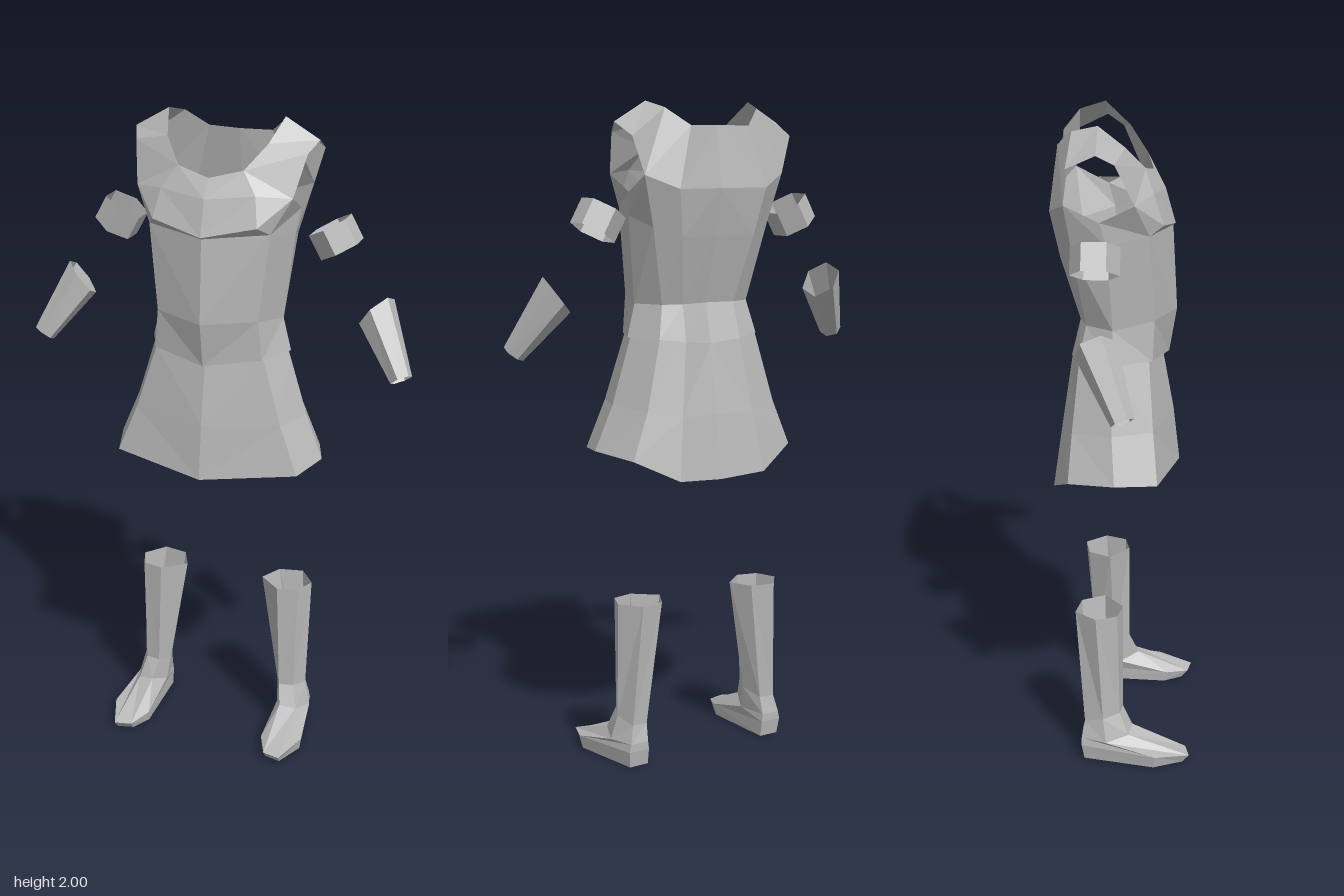
import * as THREE from 'three';

const cloth = new THREE.MeshStandardMaterial({ color: 0xb8b8b8, flatShading: true, side: THREE.DoubleSide });
cloth.name = 'plain grey';

// Skin over a grid of points: rows run upward, columns run to the model's left
function skin(name, rows) {
  const pos = [];
  for (let r = 0; r < rows.length - 1; r++) {
    for (let c = 0; c < rows[r].length - 1; c++) {
      const a = rows[r][c], b = rows[r][c + 1], d = rows[r + 1][c + 1], e = rows[r + 1][c];
      for (const tri of [[a, b, d], [a, d, e]]) {
        if (new Set(tri).size === 3) tri.forEach(p => pos.push(...p));
      }
    }
  }
  const geo = new THREE.BufferGeometry();
  geo.setAttribute('position', new THREE.Float32BufferAttribute(pos, 3));
  geo.computeVertexNormals();
  const mesh = new THREE.Mesh(geo, cloth);
  mesh.name = name;
  return mesh;
}

// Open six-sided sleeve from a low end to a high end; slant tilts the upper rim
function sleeve(name, low, high, rLow, rHigh, slant = 0) {
  const a = new THREE.Vector3(...low), b = new THREE.Vector3(...high);
  const geo = new THREE.CylinderGeometry(rHigh, rLow, a.distanceTo(b), 6, 1, true);
  const p = geo.attributes.position;
  for (let i = 0; i < p.count; i++) {
    if (p.getY(i) > 0) p.setY(i, p.getY(i) + slant * p.getX(i));
  }
  const mesh = new THREE.Mesh(geo, cloth);
  mesh.name = name;
  mesh.position.copy(a).add(b).multiplyScalar(0.5);
  mesh.quaternion.setFromUnitVectors(new THREE.Vector3(0, 1, 0), b.sub(a).normalize());
  return mesh;
}

function makeHalf() {
  const half = new THREE.Group();

  // Skirt: half rings from front centre round to back centre
  const skirt = [
    [[0, .93, .165], [.29, .963, .105], [.33, .975, -.02], [.28, .96, -.16], [.15, .895, -.213], [0, .885, -.203]],
    [[0, 1.1, .145], [.232, 1.11, .09], [.275, 1.11, -.03], [.225, 1.1, -.15], [.125, 1.08, -.187], [0, 1.08, -.178]],
    [[0, 1.28, .112], [.17, 1.31, .075], [.212, 1.31, -.03], [.17, 1.31, -.13], [.095, 1.3, -.155], [0, 1.29, -.142]],
  ];
  half.add(skin('skirt', skirt));

  // Bodice: overlaps the top of the skirt at the front
  const bodice = [
    [[0, 1.285, .13], [.17, 1.31, .085], [.222, 1.31, -.03], [.172, 1.31, -.132], [.096, 1.3, -.157], [0, 1.29, -.144]],
    [[0, 1.42, .152], [.158, 1.43, .09], [.197, 1.41, -.03], [.15, 1.41, -.11], [.09, 1.41, -.13], [0, 1.41, -.117]],
    [[0, 1.675, .138], [.187, 1.69, .075], [.225, 1.67, -.045], [.2, 1.64, -.145], [.125, 1.61, -.185], [0, 1.61, -.17]],
  ];
  half.add(skin('bodice', bodice));
  const top = bodice[2];

  // Shoulder strap: pairs of neck and armhole points, front to back
  const strap = [
    [[.1, 1.865, .06], [.24, 1.79, .035]],
    [[.155, 1.935, .005], [.265, 1.91, -.02]],
    [[.18, 2, -.07], [.285, 1.94, -.07]],
    [[.16, 1.98, -.145], [.275, 1.9, -.155]],
    [[.1, 1.93, -.19], [.24, 1.79, -.165]],
  ];
  half.add(skin('shoulderStrap', strap));
  const [neckFront, armFront] = strap[0], [neckBack, armBack] = strap[4];

  // Chest yoke with a small overhang above the bodice
  half.add(skin('chestYoke', [
    [top[0], top[1], armFront],
    [[0, 1.68, .145], [.16, 1.715, .115], armFront],
    [[0, 1.785, .115], [.145, 1.8, .085], armFront],
    [[0, 1.84, .08], neckFront, armFront],
  ]));

  // Side panel up to the armhole
  half.add(skin('underarmPanel', [[top[1], top[2], top[3]], [armFront, [.235, 1.74, -.065], armBack]]));

  // Upper back up to the neckline
  half.add(skin('upperBack', [
    [top[3], top[4], top[5]],
    [armBack, [.15, 1.75, -.212], [0, 1.75, -.2]],
    [armBack, neckBack, [0, 1.93, -.178]],
  ]));

  // Arm pieces
  half.add(sleeve('armBand', [.36, 1.626, -.07], [.321, 1.696, -.07], .07, .07));
  half.add(sleeve('forearmGuard', [.575, 1.28, .018], [.473, 1.453, -.06], .034, .062, .35));

  // Boot: rings from the sole up the foot and shaft
  const under = [.25, 0, .03];
  const boot = [
    [[.23, 0, .18], [.28, 0, .192], [.318, 0, .1], [.275, 0, -.12], [.212, 0, -.12], [.2, 0, .12]],
    [[.23, .025, .2], [.283, .025, .212], [.325, .04, .105], [.28, .05, -.128], [.212, .05, -.128], [.197, .035, .13]],
    [[.225, .1, .03], [.275, .09, .02], [.302, .075, -.05], [.275, .075, -.128], [.215, .075, -.128], [.197, .075, -.03]],
    [[.212, .16, 0], [.258, .16, -.008], [.283, .15, -.06], [.262, .13, -.118], [.212, .13, -.115], [.19, .15, -.05]],
    [[.2, .51, 0], [.265, .51, -.015], [.29, .51, -.08], [.24, .51, -.145], [.165, .51, -.13], [.13, .51, -.06]],
  ].map(ring => [...ring, ring[0]]);
  half.add(skin('boot', [boot[0].map(() => under), ...boot]));
  return half;
}

export function createModel() {
  const model = new THREE.Group();
  model.name = 'outfit';
  const left = makeHalf(), right = makeHalf();
  left.name = 'leftHalf';
  right.name = 'rightHalf';
  right.scale.x = -1;
  model.add(left, right);
  return model;
}
